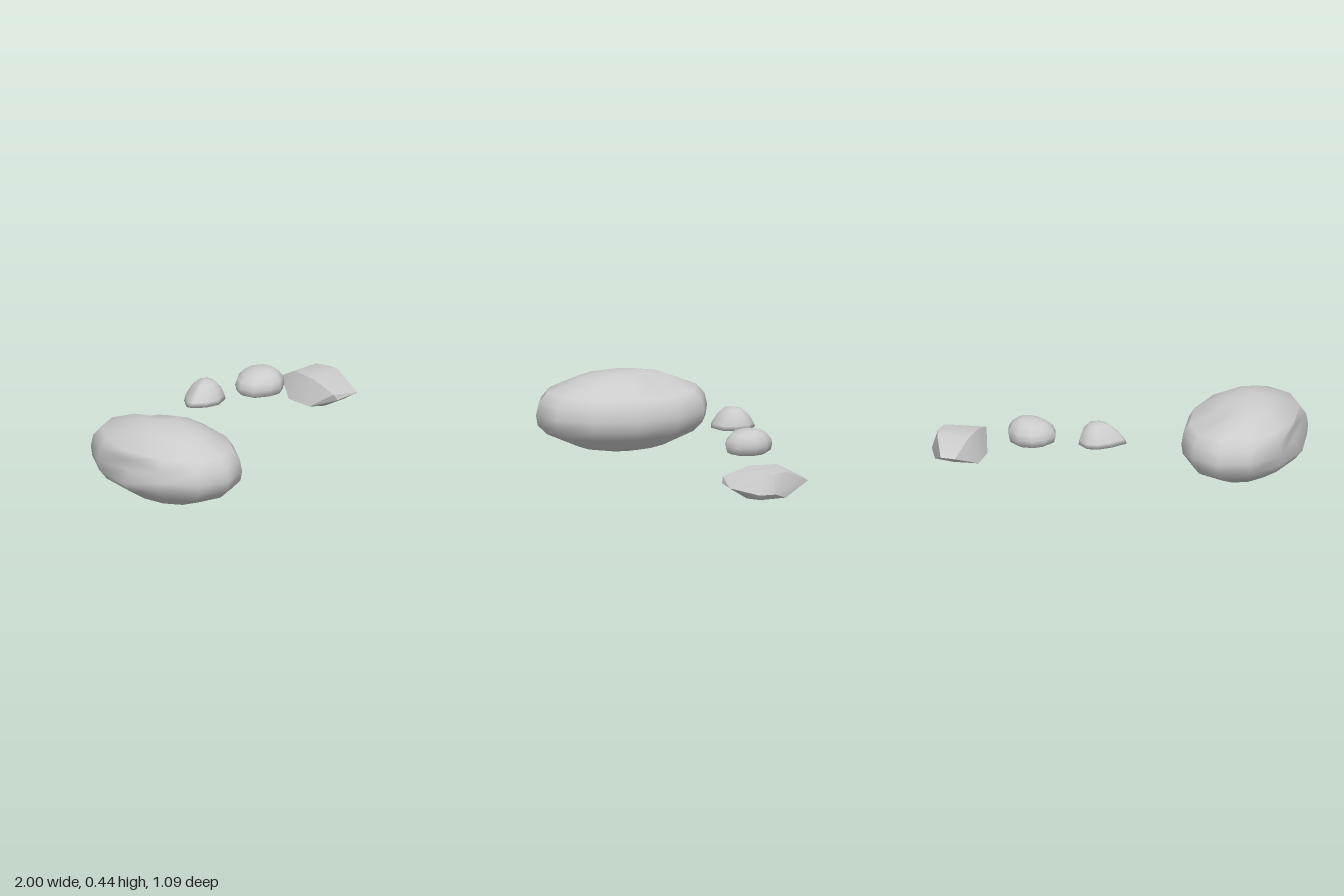
import * as THREE from 'three';
import { mergeVertices, toCreasedNormals } from 'three/addons/utils/BufferGeometryUtils.js';
import { ConvexGeometry } from 'three/addons/geometries/ConvexGeometry.js';

const stone = () => new THREE.MeshStandardMaterial({ color: 0xcccccc });

// Smooth stone: an [x, z] outline scaled about a centre at each level [scale, y, centreX, centreZ].
function loftStone(name, outline, levels, mid, reshape = (p) => p) {
  const n = outline.length;
  const positions = [];
  const index = [];
  levels.forEach(([s, y, cx = mid[0], cz = mid[1]], j) => {
    outline.forEach(([x, z], i) => {
      const p = new THREE.Vector3(cx + (x - mid[0]) * s, y, cz + (z - mid[1]) * s);
      if (s > 0) reshape(p, i, j);
      positions.push(p.x, p.y, p.z);
      if (j === levels.length - 1) return;
      const a = j * n + i, b = j * n + (i + 1) % n;
      if (s > 0) index.push(a, a + n, b);
      if (levels[j + 1][0] > 0) index.push(b, a + n, b + n);
    });
  });
  let geo = new THREE.BufferGeometry();
  geo.setAttribute('position', new THREE.Float32BufferAttribute(positions, 3));
  geo.setIndex(index);
  geo = mergeVertices(geo, 1e-5);
  geo.computeVertexNormals();
  const mesh = new THREE.Mesh(geo, stone());
  mesh.name = name;
  return mesh;
}

function createBoulder() {
  const mid = [-0.67, 0.055];
  const outline = Array.from({ length: 12 }, (_, i) => {
    const a = (i * Math.PI) / 6;
    return [mid[0] + 0.33 * Math.cos(a), mid[1] + 0.487 * Math.sin(a)];
  });
  const levels = [
    [0, 0.003], [0.26, 0.012], [0.5, 0.034], [0.87, 0.115], [0.98, 0.168], [1, 0.225],
    [0.97, 0.29], [0.87, 0.345], [0.5, 0.418], [0.26, 0.439], [0, 0.445],
  ];
  return loftStone('boulder', outline, levels, mid, (p, i, j) => {
    // chipped hollow along the right flank
    if (i === 6 && j === 4) p.x = -1;
    if (i === 6 && (j === 5 || j === 6)) p.x = -0.945;
    // worn hollow on the rear upper shoulder
    if ((i === 10 || i === 11) && j === 8) p.y -= 0.045;
    if ((i === 10 || i === 11) && j === 7) p.y -= 0.012;
  });
}

function createPeakedPebble() {
  const outline = [
    [-0.12, -0.35], [-0.06, -0.43], [0, -0.48], [0.06, -0.49], [0.125, -0.44],
    [0.14, -0.36], [0.12, -0.29], [0.03, -0.25], [-0.05, -0.27], [-0.11, -0.32],
  ];
  const levels = [
    [0, 0.235, 0, -0.36], [0.5, 0.243], [1, 0.257], [0.93, 0.28, 0.016],
    [0.72, 0.325, 0.028, -0.365], [0.42, 0.36, 0.036, -0.365], [0, 0.375, 0.04, -0.365],
  ];
  return loftStone('peakedPebble', outline, levels, [0.01, -0.365]);
}

function createRoundPebble() {
  const outline = [
    [0.285, -0.35], [0.32, -0.42], [0.38, -0.465], [0.46, -0.47], [0.53, -0.42],
    [0.555, -0.35], [0.53, -0.25], [0.46, -0.207], [0.4, -0.22], [0.31, -0.27],
  ];
  const levels = [
    [0, 0.2], [0.75, 0.201], [0.94, 0.215], [1, 0.248], [0.94, 0.282, 0.426],
    [0.72, 0.315, 0.435], [0.38, 0.333, 0.45], [0, 0.336, 0.46],
  ];
  return loftStone('roundPebble', outline, levels, [0.42, -0.34]);
}

// Angular rock: hull of its corners with sharp edges kept
function createAngularRock() {
  const corners = [
    [0.71, 0.06, -0.24], [0.71, 0.06, -0.4], [0.78, 0.06, -0.19], [0.92, 0.06, -0.19],
    [0.98, 0.06, -0.25], [0.96, 0.06, -0.4],
    [0.76, 0.155, -0.1], [0.78, 0.12, -0.09], [0.93, 0.125, -0.09],
    [0.755, 0.205, -0.25], [0.95, 0.208, -0.26], [0.965, 0.2, -0.33],
    [0.765, 0.205, -0.41], [0.94, 0.2, -0.42],
    [1, 0.09, -0.24], [1, 0.09, -0.33],
    [0.8, 0.13, -0.55], [0.88, 0.13, -0.55], [0.82, 0.1, -0.515],
  ].map((c) => new THREE.Vector3(...c));
  const mesh = new THREE.Mesh(toCreasedNormals(new ConvexGeometry(corners), 0.6), stone());
  mesh.name = 'angularRock';
  return mesh;
}

export function createModel() {
  const group = new THREE.Group();
  group.name = 'rocks';
  group.add(createBoulder(), createPeakedPebble(), createRoundPebble(), createAngularRock());
  return group;
}
